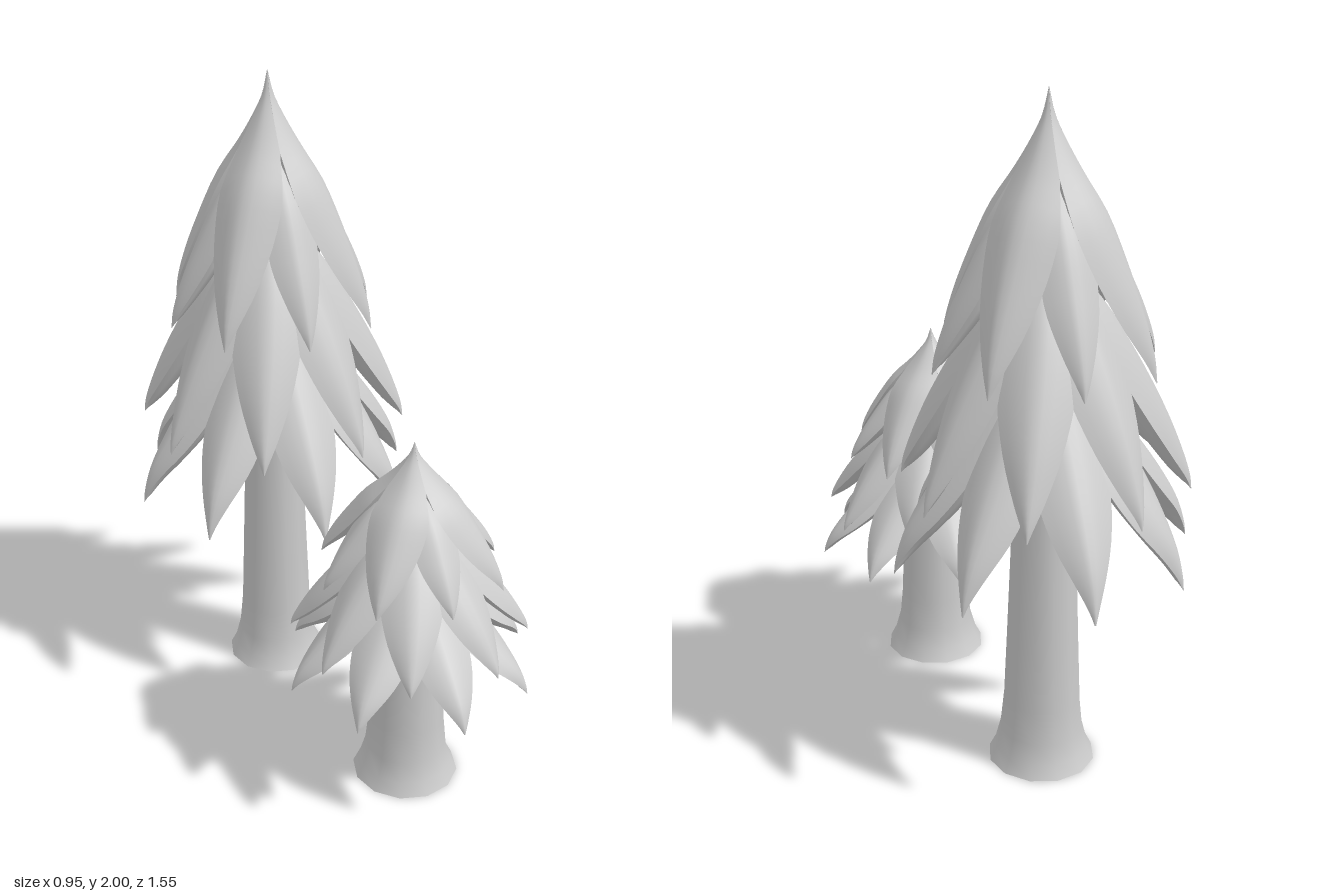
import * as THREE from 'three';

const material = new THREE.MeshStandardMaterial({ color: 0xcccccc, side: THREE.DoubleSide });

// Stations along a leaf from root to tip: [radius, height, half width]
const CROWN = [[0, 2, 0.002], [0.017, 1.93, 0.016], [0.052, 1.86, 0.045], [0.095, 1.79, 0.068],
  [0.165, 1.69, 0.098], [0.225, 1.57, 0.094], [0.285, 1.43, 0.066], [0.32, 1.32, 0.028], [0.33, 1.25, 0.001]];
const CROWN_GAP = [[0, 1.85, 0.002], [0.08, 1.74, 0.045], [0.16, 1.64, 0.07], [0.235, 1.5, 0.074],
  [0.285, 1.39, 0.05], [0.315, 1.3, 0.02], [0.322, 1.25, 0.001]];
const MIDDLE = [[0, 1.6, 0.002], [0.07, 1.53, 0.06], [0.16, 1.43, 0.095], [0.25, 1.29, 0.105],
  [0.335, 1.13, 0.08], [0.385, 1.01, 0.043], [0.407, 0.94, 0.016], [0.412, 0.9, 0.001]];
const LOWER = [[0, 1.3, 0.002], [0.08, 1.24, 0.06], [0.18, 1.13, 0.095], [0.28, 1.0, 0.103],
  [0.355, 0.89, 0.083], [0.41, 0.79, 0.046], [0.435, 0.71, 0.014], [0.44, 0.67, 0.001]];

// Grid surface from point(v, u); flip turns its face to the other side
function patch(rows, cols, point, flip) {
  const positions = [], index = [];
  for (let i = 0; i <= rows; i++)
    for (let j = 0; j <= cols; j++) positions.push(...point(i / rows, (j / cols) * 2 - 1));
  for (let i = 0; i < rows; i++)
    for (let j = 0; j < cols; j++) {
      const a = i * (cols + 1) + j, b = a + cols + 1;
      if (flip) index.push(a, a + 1, b, b, a + 1, b + 1);
      else index.push(a, b, a + 1, b, b + 1, a + 1);
    }
  const geometry = new THREE.BufferGeometry();
  geometry.setAttribute('position', new THREE.Float32BufferAttribute(positions, 3));
  geometry.setIndex(index);
  geometry.computeVertexNormals();
  return geometry;
}

// A drooping leaf pointing to +z: rounded top, keeled underside, sharp rim
function leafGeometries(stations) {
  const curve = new THREE.CatmullRomCurve3(stations.map(([r, y, w]) => new THREE.Vector3(r, y, w)));
  const surface = (under) => (v, u) => {
    const p = curve.getPoint(v), t = curve.getTangent(v);
    const len = Math.hypot(t.x, t.y) || 1;
    const inR = t.y / len, inY = -t.x / len; // direction into the leaf
    // Near the axis the leaf narrows so that neighbours meet edge to edge
    const width = Math.max(Math.min(p.z, p.x * 0.73), 0) + 0.001;
    const rim = (0.3 + 0.35 * v) * width;
    const keel = rim + 0.03 * (1 - v ** 4);
    const side = Math.abs(u);
    const depth = under ? rim + (keel - rim) * (1 - side) : rim * side ** 1.5;
    const sag = under ? 0.19 * (1 - v) ** 1.5 * (1 - side) : 0;
    return [u * width, p.y + inY * depth - sag, Math.max(p.x + inR * depth, 0)];
  };
  return [patch(22, 8, surface(false), false), patch(22, 4, surface(true), true)];
}

// Ring of equal leaves around the tree axis, offset in degrees
function leafRing(name, stations, count, offset) {
  const ring = new THREE.Group();
  ring.name = name;
  const [top, underside] = leafGeometries(stations);
  for (let i = 0; i < count; i++) {
    const leaf = new THREE.Group();
    leaf.name = 'leaf';
    for (const [part, geometry] of [['leafTop', top], ['leafUnderside', underside]]) {
      const mesh = new THREE.Mesh(geometry, material);
      mesh.name = part;
      leaf.add(mesh);
    }
    leaf.rotation.y = THREE.MathUtils.degToRad(offset) + (i * Math.PI * 2) / count;
    ring.add(leaf);
  }
  return ring;
}

function makeTree(name, x, z, spread, heightScale, lift, trunkProfile) {
  const tree = new THREE.Group();
  tree.name = name;
  tree.position.set(x, 0, z);

  // Flared trunk, open at the foot
  const profile = trunkProfile.map(([r, y]) => new THREE.Vector2(r, y));
  const trunk = new THREE.Mesh(new THREE.LatheGeometry(profile, 12), material);
  trunk.name = 'trunk';
  tree.add(trunk);

  // Three tiers of foliage, the lower ones slightly twisted between the main axes
  const foliage = new THREE.Group();
  foliage.name = 'foliage';
  foliage.add(
    leafRing('crownLeaves', CROWN, 4, 45),
    leafRing('crownGapLeaves', CROWN_GAP, 4, 0),
    leafRing('middleLeaves', MIDDLE, 8, 20.5),
    leafRing('lowerLeaves', LOWER, 4, 0),
    leafRing('lowerDiagonalLeaves', LOWER, 4, 42.7)
  );
  foliage.scale.set(spread, heightScale, spread);
  foliage.position.y = lift;
  tree.add(foliage);
  return tree;
}

export function createModel() {
  const model = new THREE.Group();
  model.name = 'pineTrees';
  model.add(
    makeTree('tallTree', -0.04, -0.34, 1, 1, 0,
      [[0.16, 0], [0.14, 0.04], [0.125, 0.1], [0.115, 0.2], [0.107, 0.4], [0.092, 0.8], [0.085, 1.1]]),
    makeTree('smallTree', 0.1, 0.4, 0.845, 0.556, 0.0175,
      [[0.16, 0], [0.14, 0.04], [0.123, 0.1], [0.113, 0.2], [0.1, 0.45], [0.092, 0.62]])
  );
  return model;
}
